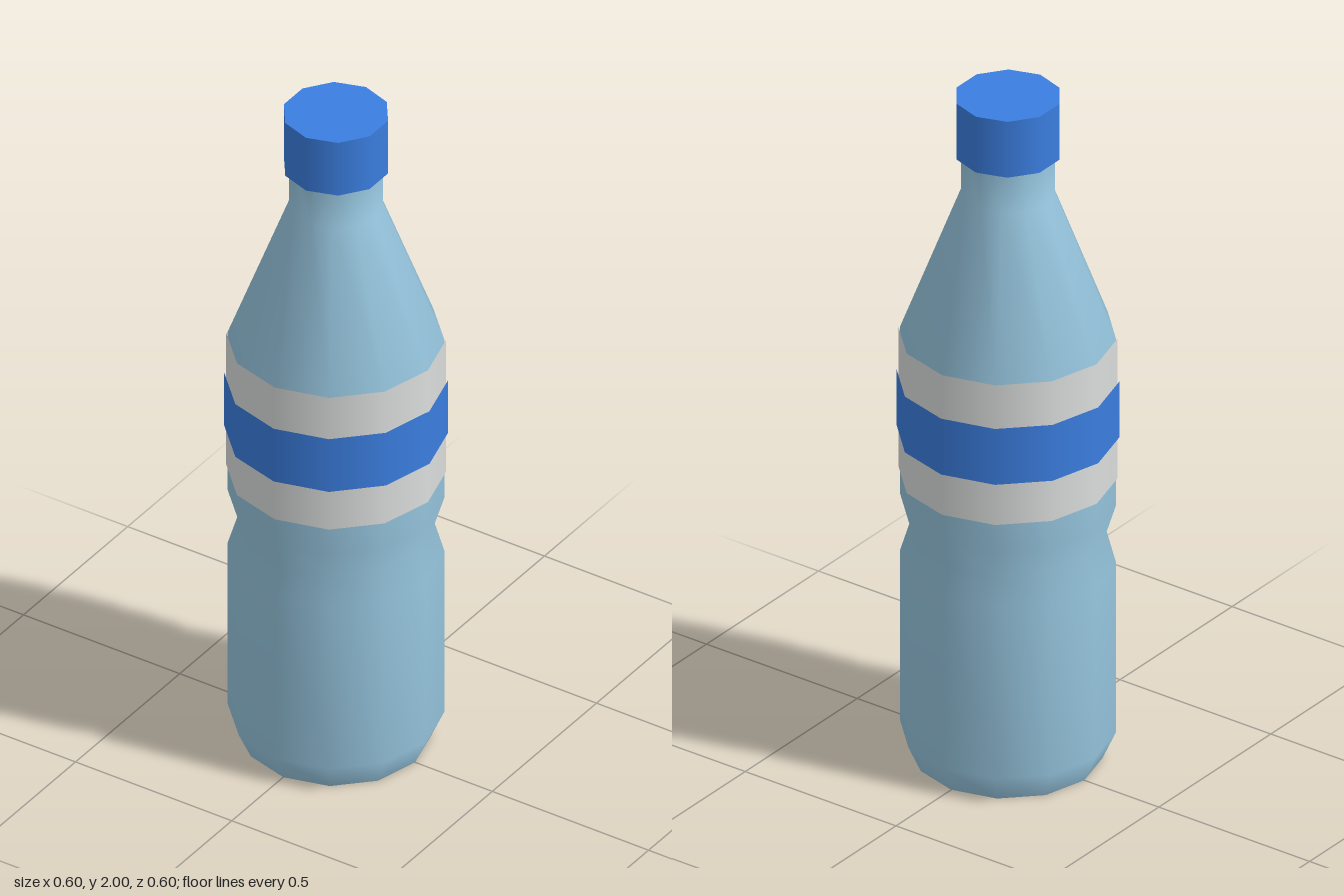
import * as THREE from 'three';

const material = (name, color) => {
  const m = new THREE.MeshStandardMaterial({ color });
  m.name = name;
  return m;
};

export function createModel() {
  const group = new THREE.Group();
  group.name = 'bottle';
  const plastic = material('pale blue plastic', 0x96c5de);
  const blue = material('blue', 0x3b7ee0);
  const white = material('label white', 0xdcdede);

  const add = (name, geometry, mat, y = 0) => {
    const mesh = new THREE.Mesh(geometry, mat);
    mesh.name = name;
    mesh.position.y = y;
    group.add(mesh);
    return mesh;
  };

  // Open sleeve wrapped around the body
  const sleeve = (name, radius, bottom, top, mat) =>
    add(name, new THREE.CylinderGeometry(radius, radius, top - bottom, 12, 1, true), mat, (top + bottom) / 2);

  // Twelve-sided body wall, from the foot through the grip waist to the neck
  const profile = [
    [0.253, 0], [0.289, 0.08], [0.289, 0.6], [0.263, 0.685], [0.289, 0.77],
    [0.289, 1.28], [0.126, 1.71], [0.126, 1.85],
  ].map(([r, y]) => new THREE.Vector2(r, y));
  add('body', new THREE.LatheGeometry(profile, 12), plastic);

  // Flat base
  add('base', new THREE.CircleGeometry(0.253, 12).rotateX(Math.PI / 2), plastic);

  // Label with its coloured stripe
  sleeve('label', 0.294, 0.855, 1.28, white);
  sleeve('labelStripe', 0.299, 0.98, 1.15, blue);

  // Ten-sided screw cap
  add('cap', new THREE.CylinderGeometry(0.144, 0.144, 0.17, 10), blue, 1.915);

  return group;
}
